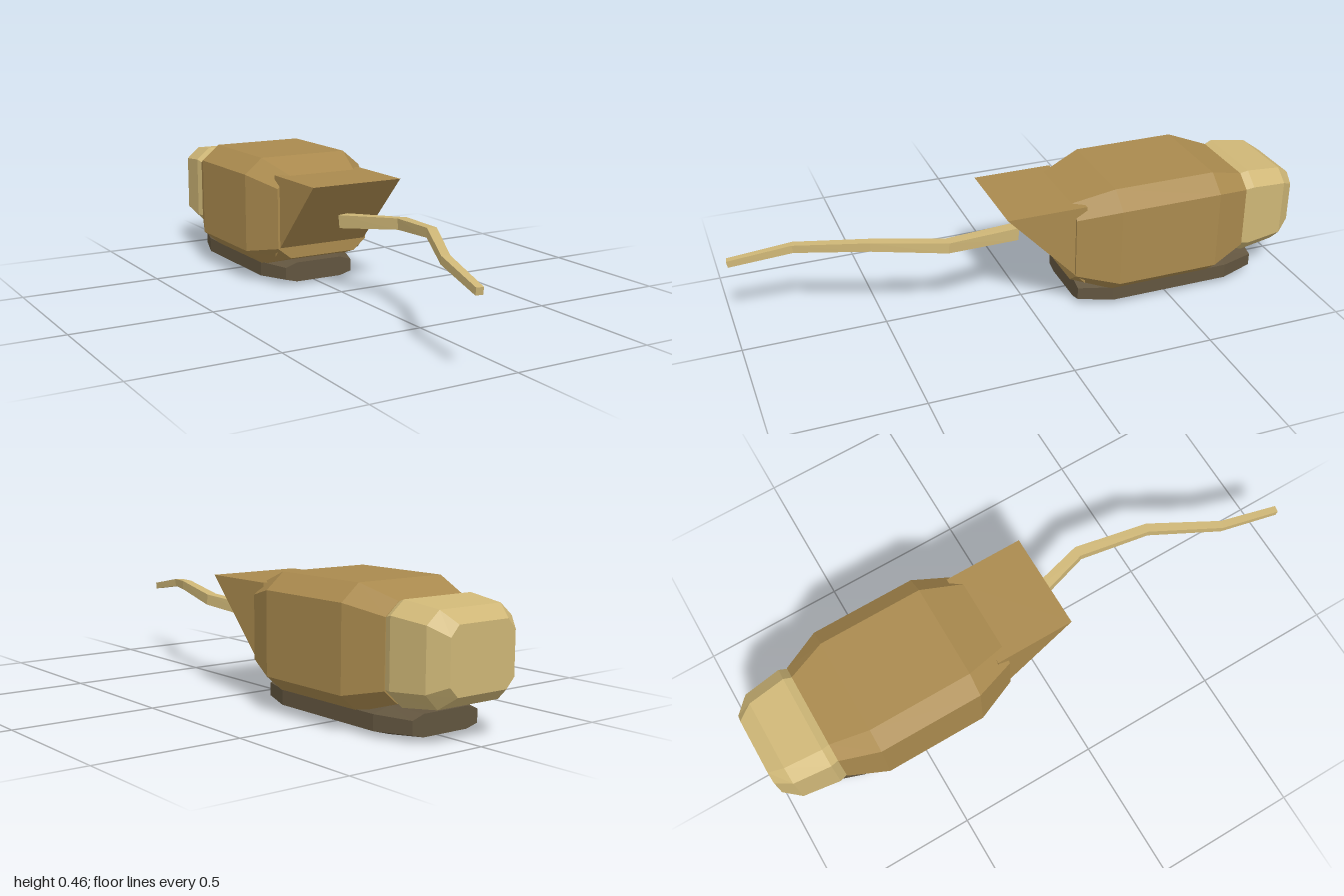
import * as THREE from 'three';

const bodyMat = new THREE.MeshStandardMaterial({ name: 'ochre', color: 0xaa8a4e });
const tanMat = new THREE.MeshStandardMaterial({ name: 'pale tan', color: 0xcfb777 });
const baseMat = new THREE.MeshStandardMaterial({ name: 'dark brown', color: 0x62553f });
for (const m of [bodyMat, tanMat, baseMat]) m.flatShading = true;

// Joins closed rings (front to back, counter-clockwise from the front) and caps both ends
function loft(name, rings, material) {
  const n = rings[0].length, index = [];
  for (let r = 0; r < rings.length - 1; r++) {
    for (let i = 0; i < n; i++) {
      const j = (i + 1) % n;
      const a = r * n + i, b = r * n + j, c = b + n, d = a + n;
      index.push(a, d, b, b, d, c);
    }
  }
  const last = (rings.length - 1) * n;
  for (let i = 1; i < n - 1; i++) {
    index.push(0, i, i + 1, last, last + i + 1, last + i);
  }
  const indexed = new THREE.BufferGeometry().setFromPoints(rings.flat());
  indexed.setIndex(index);
  const geometry = indexed.toNonIndexed();
  geometry.computeVertexNormals();
  const mesh = new THREE.Mesh(geometry, material);
  mesh.name = name;
  return mesh;
}

// Chamfered rectangle: half width, flat half width, bottom, lower side, upper side, top
function octagon([z, w, f, y0, y1, y2, y3]) {
  return [[f, y0], [w, y1], [w, y2], [f, y3], [-f, y3], [-w, y2], [-w, y1], [-f, y0]]
    .map(([x, y]) => new THREE.Vector3(x, y, z));
}

// Square rings along a path, with mitred joints: x, y, z, half thickness
function squareRings(path) {
  const pts = path.map(([x, y, z]) => new THREE.Vector3(x, y, z));
  const yAxis = new THREE.Vector3(0, 1, 0);
  return pts.map((p, i) => {
    const t = new THREE.Vector3();
    if (i > 0) t.add(pts[i - 1].clone().sub(p).normalize());
    if (i < pts.length - 1) t.add(p.clone().sub(pts[i + 1]).normalize());
    t.normalize();
    const side = yAxis.clone().cross(t).normalize();
    const up = t.clone().cross(side);
    const h = path[i][3];
    return [[1, -1], [1, 1], [-1, 1], [-1, -1]].map(([s, u]) =>
      p.clone().addScaledVector(side, s * h).addScaledVector(up, u * h));
  });
}

export function createModel() {
  const group = new THREE.Group();
  group.name = 'model';

  // Main chamfered hull
  group.add(loft('body', [
    [-0.135, 0.181, 0.13, 0.11, 0.15, 0.367, 0.41],
    [-0.28, 0.237, 0.17, 0.063, 0.12, 0.401, 0.457],
    [-0.65, 0.237, 0.17, 0.063, 0.12, 0.401, 0.457],
    [-0.785, 0.184, 0.132, 0.105, 0.15, 0.37, 0.412],
  ].map(octagon), bodyMat));

  // Overhanging wedge at the front
  const wedge = new THREE.Shape([[0.11, 0.41], [-0.175, 0.41], [-0.175, 0.11]]
    .map(([z, y]) => new THREE.Vector2(-z, y)));
  const wedgeGeometry = new THREE.ExtrudeGeometry(wedge, { depth: 0.346, bevelEnabled: false });
  wedgeGeometry.rotateY(Math.PI / 2).translate(-0.173, 0, 0);
  const wedgeMesh = new THREE.Mesh(wedgeGeometry, bodyMat);
  wedgeMesh.name = 'frontWedge';
  group.add(wedgeMesh);

  // Pale rounded-off rear cap
  group.add(loft('rearCap', [
    [-0.78, 0.18, 0.13, 0.11, 0.155, 0.368, 0.41],
    [-0.812, 0.19, 0.138, 0.1, 0.155, 0.378, 0.421],
    [-0.945, 0.174, 0.125, 0.115, 0.165, 0.364, 0.405],
    [-1, 0.132, 0.1, 0.157, 0.19, 0.333, 0.367],
  ].map(octagon), tanMat));

  // Dark base pad
  group.add(loft('base', [
    [-0.165, 0.135, 0.09, 0.012, 0.024, 0.068, 0.083],
    [-0.285, 0.177, 0.11, 0, 0.019, 0.071, 0.09],
    [-0.73, 0.177, 0.11, 0, 0.019, 0.071, 0.09],
    [-0.855, 0.135, 0.09, 0.012, 0.024, 0.068, 0.083],
  ].map(octagon), baseMat));

  // Tapering bent strand reaching forward
  group.add(loft('strand', squareRings([
    [-0.143, 0.261, 0.998, 0.012],
    [-0.105, 0.298, 0.78, 0.014],
    [0.011, 0.32, 0.54, 0.016],
    [0.066, 0.296, 0.29, 0.019],
    [-0.003, 0.263, 0.02, 0.023],
  ]), tanMat));

  return group;
}
